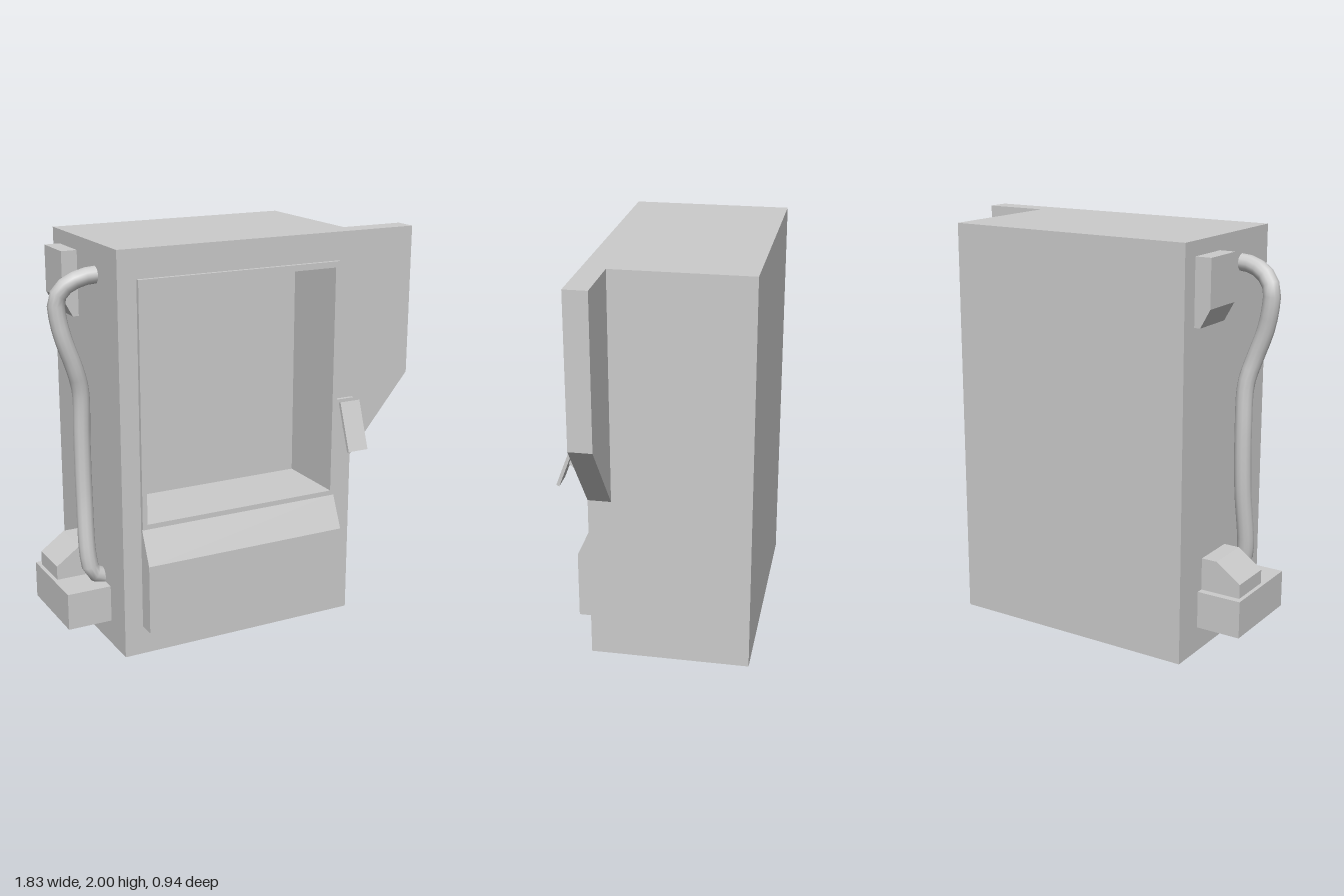
import * as THREE from 'three';

const mat = new THREE.MeshStandardMaterial({ color: 0xcccccc });
const v2 = ([x, y]) => new THREE.Vector2(x, y);
const rect = (x0, x1, y0, y1) => [[x0, y0], [x1, y0], [x1, y1], [x0, y1]];

function add(parent, name, geo) {
  const mesh = new THREE.Mesh(geo, mat);
  mesh.name = name;
  parent.add(mesh);
  return mesh;
}

// box given by its limits on each axis
function box(parent, name, x0, x1, y0, y1, z0, z1) {
  const geo = new THREE.BoxGeometry(x1 - x0, y1 - y0, z1 - z0);
  geo.translate((x0 + x1) / 2, (y0 + y1) / 2, (z0 + z1) / 2);
  return add(parent, name, geo);
}

// front outline (x, y) extruded from z0 to z1, with an optional hole
function slab(parent, name, pts, z0, z1, hole) {
  const shape = new THREE.Shape(pts.map(v2));
  if (hole) shape.holes.push(new THREE.Path(hole.map(v2)));
  const geo = new THREE.ExtrudeGeometry(shape, { depth: z1 - z0, bevelEnabled: false });
  geo.translate(0, 0, z0);
  return add(parent, name, geo);
}

// side outline (z, y) extruded from x0 to x1
function sideSlab(parent, name, pts, x0, x1) {
  const shape = new THREE.Shape(pts.map(([z, y]) => new THREE.Vector2(-z, y)));
  const geo = new THREE.ExtrudeGeometry(shape, { depth: x1 - x0, bevelEnabled: false });
  geo.rotateY(Math.PI / 2);
  geo.translate(x0, 0, 0);
  return add(parent, name, geo);
}

export function createModel() {
  const model = new THREE.Group();
  model.name = 'vendingCabinet';

  // cabinet: solid back and a front part with the display recess
  const opening = rect(-0.57, 0.455, 0.68, 1.83);
  box(model, 'cabinetBack', -0.69, 0.58, 0, 2, -0.47, -0.04);
  slab(model, 'cabinetFront', rect(-0.69, 0.58, 0, 2), -0.04, 0.325, opening);
  slab(model, 'windowFrame', rect(-0.595, 0.48, 0.655, 1.86), 0.325, 0.345, opening);

  // side wing
  slab(model, 'sideWing', [[0.58, 0.85], [0.91, 1.25], [0.91, 2], [0.58, 2]], 0.21, 0.325);

  // lower front bin with a sloped top
  sideSlab(model, 'lowerBin',
    [[0.325, 0.145], [0.41, 0.145], [0.41, 0.49], [0.335, 0.655], [0.325, 0.655]], -0.595, 0.48);

  // tilted panel on a folding bracket
  const panel = new THREE.Group();
  panel.name = 'tiltedPanel';
  model.add(panel);
  box(panel, 'panelMount', 0.48, 0.58, 0.91, 1.16, 0.325, 0.345);
  sideSlab(panel, 'panelPlate',
    [[0.46, 0.915], [0.475, 0.921], [0.387, 1.157], [0.372, 1.151]], 0.475, 0.587);
  const links = [
    [[0.34, 1.065], [0.378, 1.102], [0.415, 1.055]],
    [[0.34, 1.015], [0.38, 0.983], [0.424, 1.025]],
  ];
  for (const path of links) {
    for (let i = 0; i < 2; i++) {
      const [[za, ya], [zb, yb]] = [path[i], path[i + 1]];
      const geo = new THREE.BoxGeometry(0.02, 0.009, Math.hypot(zb - za, yb - ya) + 0.006);
      geo.rotateX(-Math.atan2(yb - ya, zb - za));
      geo.translate(0.53, (ya + yb) / 2, (za + zb) / 2);
      add(panel, 'bracketLink', geo);
    }
  }

  // units mounted on the side
  box(model, 'pumpBase', -0.915, -0.69, 0.125, 0.31, -0.3, 0.155);
  slab(model, 'pumpHousing',
    [[-0.895, 0.31], [-0.69, 0.31], [-0.69, 0.47], [-0.77, 0.47], [-0.895, 0.38]], -0.265, -0.04);
  slab(model, 'upperJunctionBox',
    [[-0.72, 1.61], [-0.69, 1.61], [-0.69, 1.93], [-0.77, 1.93], [-0.77, 1.7]], -0.38, -0.155);

  // hose joining the cabinet at its top and bottom
  const hosePoints = [
    [-0.68, 1.848, 0.065], [-0.75, 1.84, 0.06], [-0.83, 1.8, 0.04], [-0.868, 1.74, 0.025],
    [-0.865, 1.65, 0.025], [-0.84, 1.54, 0.03], [-0.79, 1.4, 0.025], [-0.758, 1.28, 0.01],
    [-0.755, 1.05, 0], [-0.757, 0.75, 0.01], [-0.76, 0.43, 0.05], [-0.74, 0.36, 0.055],
    [-0.68, 0.33, 0.055],
  ].map((p) => new THREE.Vector3(...p));
  add(model, 'hose', new THREE.TubeGeometry(new THREE.CatmullRomCurve3(hosePoints), 32, 0.042, 12));

  return model;
}
